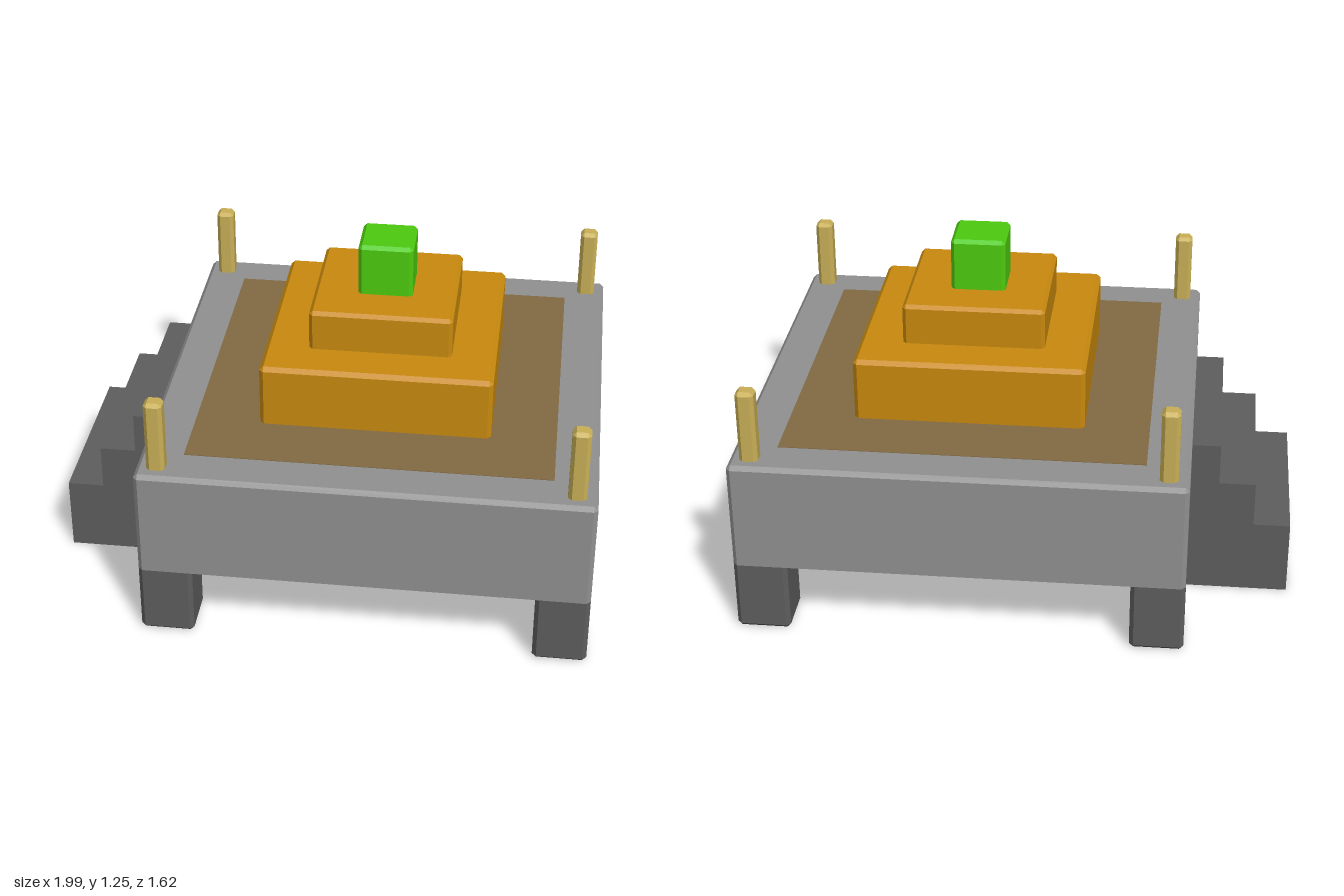
import * as THREE from 'three';
import { ConvexGeometry } from 'three/addons/geometries/ConvexGeometry.js';

const mat = (name, color, side = THREE.FrontSide) =>
  new THREE.MeshStandardMaterial({ name, color, side });

// Box with chamfered uprights, and chamfered top and/or bottom rims
function chamferBox(w, y0, y1, d, b, top, bottom) {
  const points = [];
  for (const sx of [-1, 1]) for (const sz of [-1, 1]) {
    const x = w / 2, z = d / 2;
    for (const [y, inward, cut] of [[y1, -b, top], [y0, b, bottom]]) {
      const rim = cut ? y + inward : y;
      points.push(new THREE.Vector3(sx * x, rim, sz * (z - b)));
      points.push(new THREE.Vector3(sx * (x - b), rim, sz * z));
      if (cut) points.push(new THREE.Vector3(sx * (x - b), y, sz * (z - b)));
    }
  }
  return new ConvexGeometry(points);
}

export function createModel() {
  const model = new THREE.Group();
  model.name = 'steppedAltar';
  const stone = mat('stone grey', 0x919191);
  const dark = mat('dark stone', 0x5e5e5e, THREE.DoubleSide);
  const orange = mat('orange', 0xc98a0e);
  const brown = mat('brown', 0x836a43);
  const sand = mat('sand', 0xc9b057);
  const green = mat('green', 0x4ecc0f);
  const cx = 0.182;

  const add = (name, geometry, material, x, y, z, parent = model) => {
    const mesh = new THREE.Mesh(geometry, material);
    mesh.name = name;
    mesh.position.set(x, y, z);
    parent.add(mesh);
    return mesh;
  };

  // Platform with its floor inlay
  add('platform', chamferBox(1.62, 0.265, 0.672, 1.62, 0.015, true, false), stone, cx, 0, 0);
  add('floorInlay', new THREE.BoxGeometry(1.31, 0.004, 1.31), brown, cx, 0.672, 0);

  // Corner legs and posts
  const leg = chamferBox(0.195, 0, 0.265, 0.195, 0.015, false, true);
  const post = chamferBox(0.066, 0.67, 0.942, 0.066, 0.013, true, false);
  for (const sx of [-1, 1]) for (const sz of [-1, 1]) {
    add('leg', leg, dark, cx + sx * 0.7125, 0, sz * 0.7125);
    add('post', post, sand, cx + sx * 0.737, 0, sz * 0.733);
  }

  // Stepped pyramid and the cube on top
  add('lowerTier', chamferBox(0.84, 0.67, 0.907, 0.84, 0.015, true, false), orange, cx, 0, 0);
  add('upperTier', chamferBox(0.52, 0.905, 1.058, 0.52, 0.013, true, false), orange, cx, 0, 0);
  add('topCube', chamferBox(0.2, 1.056, 1.252, 0.2, 0.013, true, false), green, cx, 0, 0);

  // Stairs: a shell open underneath and against the platform
  const stairs = new THREE.Group();
  stairs.name = 'stairs';
  model.add(stairs);
  const z0 = -0.38, z1 = 0.325, depth = z1 - z0, zMid = (z0 + z1) / 2;
  const profile = [[-1, 0], [-1, 0.28], [-0.865, 0.28], [-0.865, 0.45],
    [-0.732, 0.45], [-0.732, 0.605], [-0.627, 0.605]];
  const outline = new THREE.Shape([...profile, [-0.627, 0]].map(([x, y]) => new THREE.Vector2(x, y)));
  const side = new THREE.ShapeGeometry(outline);
  add('stairSide', side, dark, 0, 0, z1, stairs);
  add('stairSide', side.clone().rotateY(Math.PI).scale(-1, 1, 1), dark, 0, 0, z0, stairs)
    .geometry.copy(new THREE.ShapeGeometry(outline));
  stairs.children[1].geometry.index.array.reverse(); // face the back
  stairs.children[1].geometry.attributes.normal.array.forEach((v, i, a) => { a[i] = -v; });
  for (let i = 0; i + 1 < profile.length; i++) {
    const [xa, ya] = profile[i], [xb, yb] = profile[i + 1];
    const riser = xa === xb;
    const plane = riser
      ? new THREE.PlaneGeometry(depth, yb - ya).rotateY(-Math.PI / 2)
      : new THREE.PlaneGeometry(xb - xa, depth).rotateX(-Math.PI / 2);
    add(riser ? 'riser' : 'tread', plane, dark, (xa + xb) / 2, (ya + yb) / 2, zMid, stairs);
  }
  return model;
}
